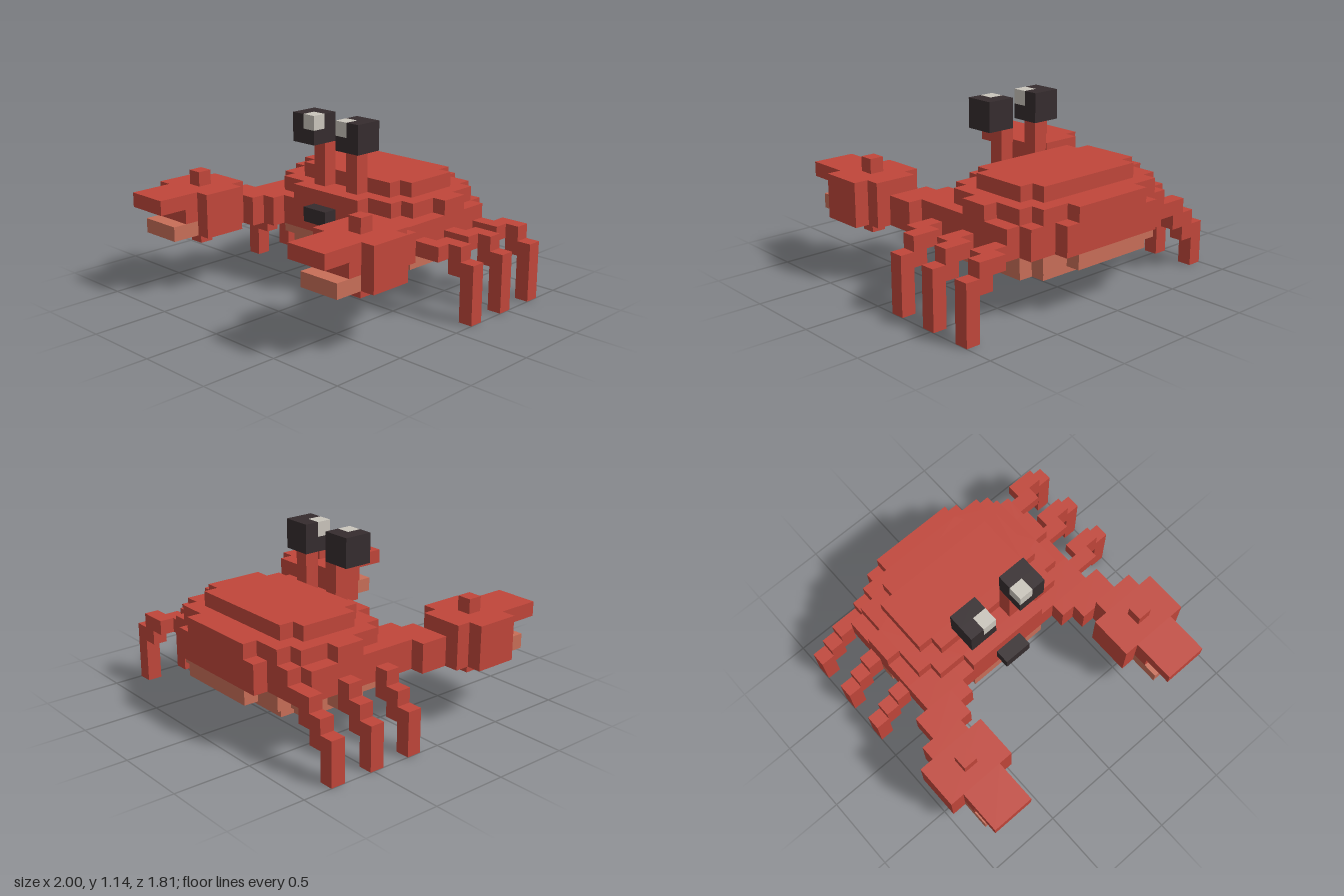
import * as THREE from 'three';

const U = 2 / 21; // one block

const shellRed = new THREE.MeshStandardMaterial({ color: 0xc0463a });
shellRed.name = 'shellRed';
const bellyTan = new THREE.MeshStandardMaterial({ color: 0xc86e58 });
bellyTan.name = 'bellyTan';
const eyeDark = new THREE.MeshStandardMaterial({ color: 0x352c2e });
eyeDark.name = 'eyeDark';
const glintWhite = new THREE.MeshStandardMaterial({ color: 0xcac5bc });
glintWhite.name = 'glintWhite';

// Block coordinates: x is measured from the body's middle, y from the ground, z from the back
const toX = (i) => (i - 0.5) * U;
const toZ = (k) => (k - 9.5) * U;

function box(parent, name, material, [x0, x1], [y0, y1], [z0, z1]) {
  const geometry = new THREE.BoxGeometry(Math.abs(x1 - x0) * U, (y1 - y0) * U, (z1 - z0) * U);
  const mesh = new THREE.Mesh(geometry, material);
  mesh.name = name;
  mesh.position.set(toX((x0 + x1) / 2), ((y0 + y1) / 2) * U, toZ((z0 + z1) / 2));
  parent.add(mesh);
}

// Stepped oval layer: rows are [halfWidth, zStart, zEnd], from back to front
function layer(parent, name, material, y0, y1, rows) {
  const side = rows.flatMap(([w, a, b]) => [[w, a], [w, b]]);
  const outline = [...side, ...side.map(([w, z]) => [-w, z]).reverse()];
  const shape = new THREE.Shape(outline.map(([x, z]) => new THREE.Vector2(toX(x), -toZ(z))));
  const geometry = new THREE.ExtrudeGeometry(shape, { depth: (y1 - y0) * U, bevelEnabled: false });
  geometry.rotateX(-Math.PI / 2);
  const mesh = new THREE.Mesh(geometry, material);
  mesh.name = name;
  mesh.position.y = y0 * U;
  parent.add(mesh);
}

function group(parent, name) {
  const g = new THREE.Group();
  g.name = name;
  parent.add(g);
  return g;
}

export function createModel() {
  const model = new THREE.Group();
  model.name = 'crab';

  // Body, from belly to top of shell
  const body = group(model, 'body');
  const cap = [[4, 2, 3], [5, 3, 7], [4, 7, 8]];
  const rim = [[3, 0, 1], [5, 1, 2], [6, 2, 4], [7, 4, 6], [6, 6, 8], [5, 8, 9], [3, 9, 10]];
  const waist = [[4, 0, 1], [6, 1, 2], [7, 2, 8], [6, 8, 9], [4, 9, 10]];
  layer(body, 'bellyBottom', bellyTan, 2, 3, cap);
  layer(body, 'bellyRim', bellyTan, 3, 4, rim);
  layer(body, 'shellMiddle', shellRed, 4, 6, waist);
  layer(body, 'shellRim', shellRed, 6, 7, rim);
  layer(body, 'shellTop', shellRed, 7, 8, cap);
  box(body, 'mouth', eyeDark, [-1, 1], [5, 6], [10, 11]);

  for (const s of [1, -1]) {
    const label = s > 0 ? 'left' : 'right';
    const span = (a, b) => [s * a, s * b];

    // Eye on a stalk, with a glint in the inner top front corner
    const eye = group(model, label + 'Eye');
    box(eye, 'eyeStalk', shellRed, span(1, 2), [7, 10], [8, 9]);
    box(eye, 'eyeLower', eyeDark, span(1, 3), [10, 11], [8, 10]);
    box(eye, 'eyeUpperBack', eyeDark, span(1, 3), [11, 12], [8, 9]);
    box(eye, 'eyeUpperOuter', eyeDark, span(2, 3), [11, 12], [9, 10]);
    box(eye, 'eyeGlint', glintWhite, span(1, 2), [11, 12], [9, 10]);

    // Arm and claw
    const arm = group(model, label + 'Arm');
    box(arm, 'shoulder', shellRed, span(4, 7), [4, 6], [8, 10]);
    box(arm, 'innerElbow', shellRed, span(4, 5), [4, 6], [10, 11]);
    box(arm, 'upperArm', shellRed, span(5, 8), [4, 6], [10, 12]);
    box(arm, 'wrist', shellRed, span(6, 9), [4, 7], [12, 13]);
    box(arm, 'claw', shellRed, span(5, 10), [4, 7], [13, 16]);
    box(arm, 'clawTopKnob', shellRed, span(7, 8), [7, 8], [14, 15]);
    box(arm, 'clawBottomKnob', shellRed, span(7, 8), [3, 4], [14, 15]);
    box(arm, 'upperPincer', shellRed, span(6, 9), [6, 7], [16, 19]);
    box(arm, 'pincerHinge', shellRed, span(6, 9), [5, 6], [16, 17]);
    box(arm, 'lowerPincer', bellyTan, span(6, 9), [4, 5], [16, 18]);
  }

  // Three legs a side: the left ones jog backwards, the right ones step straight down
  for (const z of [1, 4, 7]) {
    const left = group(model, 'leftLeg');
    box(left, 'thigh', shellRed, [6, 9], [4, 5], [z + 1, z + 2]);
    box(left, 'knee', shellRed, [8, 10], [4, 5], [z, z + 1]);
    box(left, 'shin', shellRed, [9, 10], [3, 4], [z, z + 1]);
    box(left, 'foot', shellRed, [10, 11], [0, 4], [z, z + 1]);

    const right = group(model, 'rightLeg');
    box(right, 'thigh', shellRed, [-8, -6], [4, 5], [z, z + 1]);
    box(right, 'knee', shellRed, [-8, -7], [3, 4], [z, z + 1]);
    box(right, 'shin', shellRed, [-9, -8], [2, 4], [z, z + 1]);
    box(right, 'foot', shellRed, [-10, -9], [0, 3], [z, z + 1]);
  }

  return model;
}
